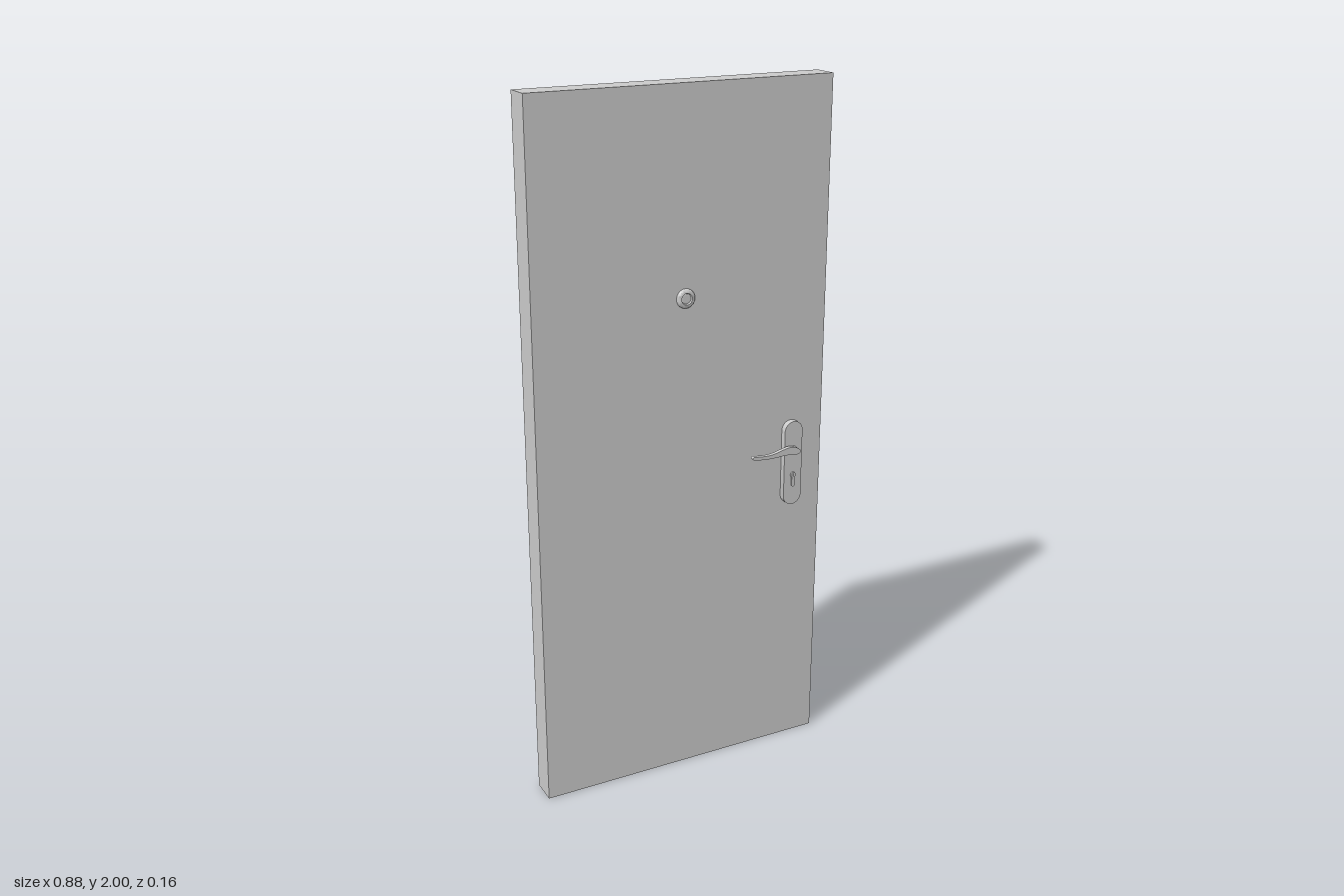
import * as THREE from 'three';
import { toCreasedNormals } from 'three/addons/utils/BufferGeometryUtils.js';

const HALF = 0.0385; // half thickness of the door leaf
const X = 0.341;     // handle axis

export function createModel() {
  const group = new THREE.Group();
  const mat = new THREE.MeshStandardMaterial({ color: 0xcccccc });
  const add = (name, geo) => {
    const mesh = new THREE.Mesh(geo, mat);
    mesh.name = name;
    group.add(mesh);
    return mesh;
  };
  // Extrude a front-plane shape between two distances from the door's middle, on either side
  const slab = (name, shape, near, far, side) => {
    const geo = new THREE.ExtrudeGeometry(shape, { depth: far - near, bevelEnabled: false, curveSegments: 16 });
    geo.translate(0, 0, side > 0 ? near : -far);
    return add(name, toCreasedNormals(geo, 0.6));
  };

  // Door leaf
  add('doorLeaf', new THREE.BoxGeometry(0.884, 2, HALF * 2).translate(0, 1, 0));

  // Upright plate with round ends
  const plate = new THREE.Shape();
  plate.absarc(X, 1.007, 0.029, 0, Math.PI);
  plate.absarc(X, 0.809, 0.029, Math.PI, Math.PI * 2);
  plate.closePath();

  // Lock cylinder: round top with a straight stem and a key slot
  const lock = new THREE.Shape();
  lock.absarc(X, 0.873, 0.008, -0.9, Math.PI + 0.9);
  lock.lineTo(X - 0.005, 0.842);
  lock.absarc(X, 0.842, 0.005, Math.PI, Math.PI * 2);
  lock.closePath();
  const slot = new THREE.Path();
  slot.moveTo(X - 0.001, 0.868);
  slot.lineTo(X + 0.001, 0.868);
  slot.lineTo(X + 0.001, 0.878);
  slot.lineTo(X - 0.001, 0.878);
  slot.closePath();
  lock.holes.push(slot);

  // Curved lever, thick at the spindle and thin towards the tip
  const lever = new THREE.Shape();
  lever.moveTo(0.197, 0.951);
  lever.bezierCurveTo(0.225, 0.944, 0.25, 0.944, 0.278, 0.945);
  lever.bezierCurveTo(0.305, 0.947, 0.322, 0.946, 0.338, 0.943);
  lever.bezierCurveTo(0.348, 0.942, 0.355, 0.948, 0.352, 0.954);
  lever.bezierCurveTo(0.346, 0.962, 0.33, 0.969, 0.315, 0.968);
  lever.bezierCurveTo(0.295, 0.966, 0.28, 0.959, 0.258, 0.956);
  lever.bezierCurveTo(0.235, 0.954, 0.215, 0.957, 0.2, 0.959);
  lever.bezierCurveTo(0.194, 0.959, 0.193, 0.953, 0.197, 0.951);

  for (const side of [1, -1]) {
    const end = side > 0 ? 'front' : 'back';
    slab(end + 'Plate', plate, HALF, 0.057, side);
    slab(end + 'LockCylinder', lock, 0.057, 0.0615, side);
    slab(end + 'Lever', lever, 0.067, 0.079, side);
    // Spindle between plate and lever
    const spindle = new THREE.CylinderGeometry(0.008, 0.008, 0.014, 20).rotateX(Math.PI / 2);
    add(end + 'Spindle', spindle.translate(X, 0.954, side * 0.062));
  }

  // Peephole: domed ring with recessed lens in front, flat ring at the back
  const ring = (name, profile, side) => {
    const pts = profile.map(([r, h]) => new THREE.Vector2(r, h));
    const geo = new THREE.LatheGeometry(pts, 32).rotateX(side * Math.PI / 2);
    const mesh = add(name, toCreasedNormals(geo, 0.6));
    mesh.position.set(0, 1.437, side * HALF);
  };
  ring('peepholeFront', [[0.027, 0], [0.027, 0.004], [0.025, 0.0075], [0.021, 0.01],
    [0.016, 0.01], [0.014, 0.005], [0.008, 0.0065], [0, 0.007]], 1);
  ring('peepholeBack', [[0.027, 0], [0.027, 0.005], [0.024, 0.006], [0.017, 0.006],
    [0.017, 0.003], [0, 0.003]], -1);

  return group;
}
